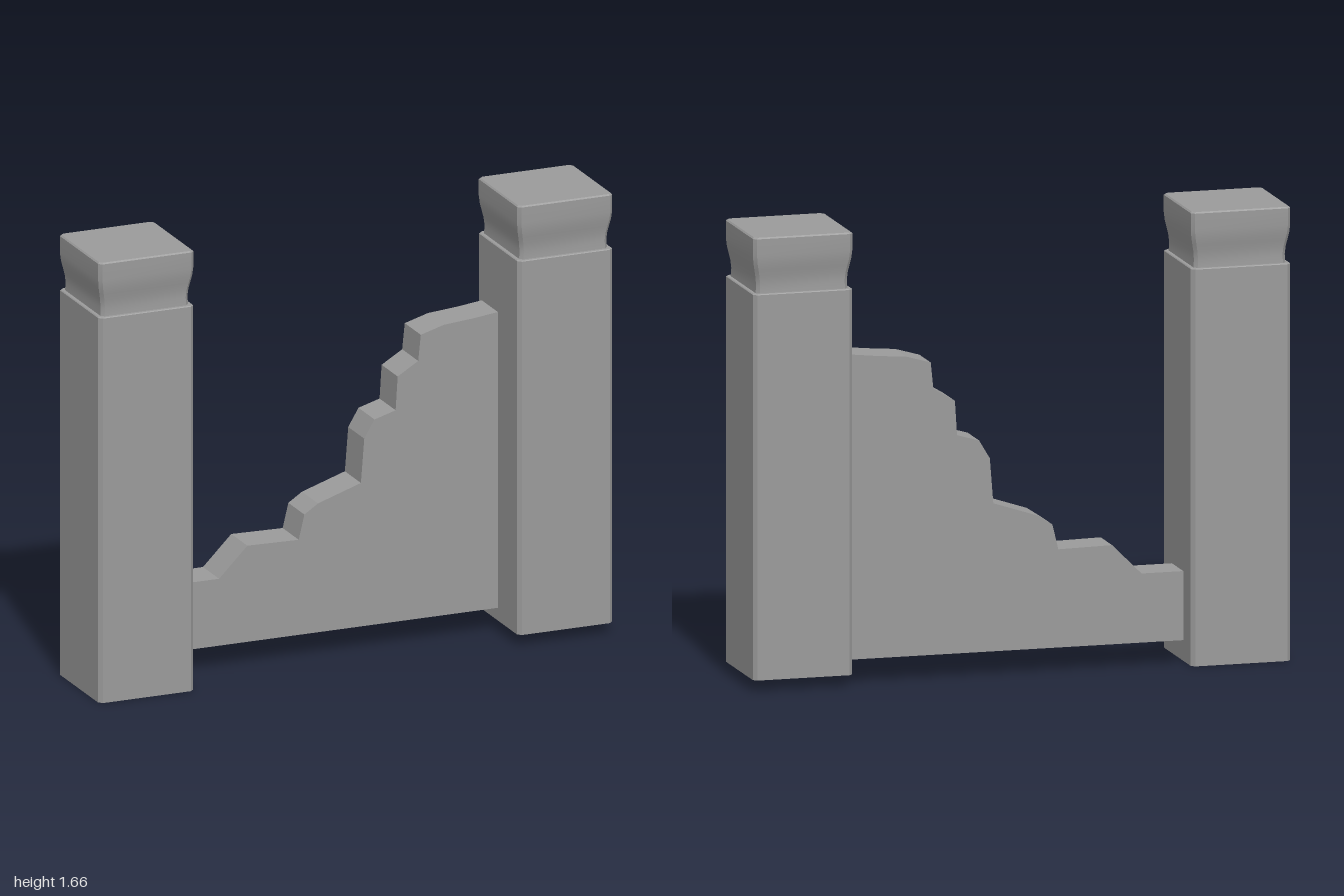
import * as THREE from 'three';
import { toCreasedNormals } from 'three/addons/utils/BufferGeometryUtils.js';

const material = new THREE.MeshStandardMaterial({ color: 0x9b9b9b });

// Square with chamfered corners, counter-clockwise seen from above
function ring(half, chamfer, y) {
  const a = half, b = half - chamfer;
  return [[a, b], [a, -b], [b, -a], [-b, -a], [-a, -b], [-a, b], [-b, a], [b, a]]
    .map(([x, z]) => [x, y, z]);
}

// Closed solid through a stack of [y, half width] levels
function loft(levels, chamfer) {
  const rings = levels.map(([y, half]) => ring(half, chamfer, y));
  const n = 8, pos = [];
  const tri = (...corners) => corners.forEach((c) => pos.push(...c));
  for (let i = 0; i < rings.length - 1; i++) {
    for (let j = 0; j < n; j++) {
      const k = (j + 1) % n, lo = rings[i], hi = rings[i + 1];
      tri(lo[j], lo[k], hi[k]);
      tri(lo[j], hi[k], hi[j]);
    }
  }
  const bottom = rings[0], top = rings[rings.length - 1];
  for (let j = 1; j < n - 1; j++) {
    tri(bottom[0], bottom[j + 1], bottom[j]);
    tri(top[0], top[j], top[j + 1]);
  }
  const geometry = new THREE.BufferGeometry();
  geometry.setAttribute('position', new THREE.Float32BufferAttribute(pos, 3));
  return toCreasedNormals(geometry, 0.5);
}

function part(name, geometry) {
  const mesh = new THREE.Mesh(geometry, material);
  mesh.name = name;
  return mesh;
}

// Square post with a flared cap above a narrow neck
function pillar(name, x, base) {
  const group = new THREE.Group();
  group.name = name;
  group.add(
    part('shaft', loft([[base, 0.185], [1.447, 0.185], [1.45, 0.182]], 0.014)),
    part('cap', loft([
      [1.449, 0.171], [1.48, 0.169], [1.51, 0.172], [1.535, 0.177],
      [1.56, 0.182], [1.59, 0.185], [1.651, 0.185], [1.656, 0.18],
    ], 0.012)),
  );
  group.position.x = x;
  return group;
}

// Crumbled wall, stepping up towards one pillar
function brokenWall() {
  const outline = [
    [-0.61, 0.09], [0.645, 0.09], [0.645, 1.205], [0.53, 1.192], [0.42, 1.183],
    [0.33, 1.157], [0.32, 1.06], [0.24, 1.012], [0.232, 0.886], [0.15, 0.862],
    [0.11, 0.795], [0.097, 0.63], [-0.07, 0.575], [-0.123, 0.54], [-0.145, 0.448],
    [-0.345, 0.452], [-0.455, 0.342], [-0.61, 0.342],
  ].map(([x, y]) => new THREE.Vector2(x, y));
  const geometry = new THREE.ExtrudeGeometry(new THREE.Shape(outline), { depth: 0.145, bevelEnabled: false });
  geometry.translate(0, 0, -0.145);
  return part('brokenWall', geometry);
}

export function createModel() {
  const model = new THREE.Group();
  model.name = 'ruinedWall';
  model.add(pillar('rightPillar', -0.815, 0), pillar('leftPillar', 0.815, 0.042), brokenWall());
  return model;
}
